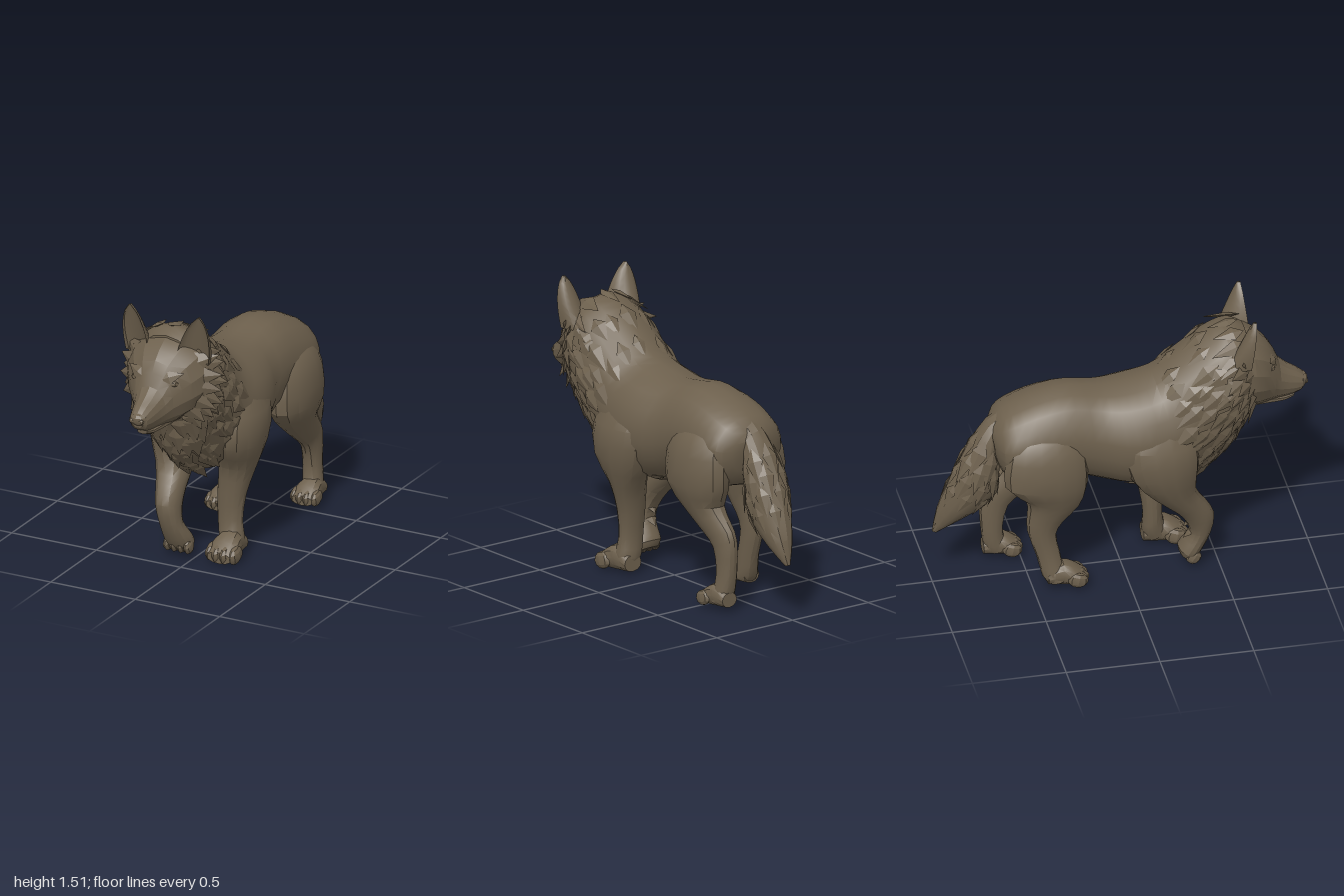
import * as THREE from 'three';
import { mergeGeometries, toCreasedNormals } from 'three/addons/utils/BufferGeometryUtils.js';

const fur = new THREE.MeshStandardMaterial({ color: 0x6d604d, side: THREE.DoubleSide });
fur.name = 'brown fur';

const V = (x, y, z) => new THREE.Vector3(x, y, z);

// Smooth interpolation through a list of equal-length number rows
function rowAt(rows, t) {
  const n = rows.length - 1;
  const i = Math.min(Math.floor(t), n - 1), f = t - i;
  const [a, b, c, d] = [i - 1, i, i + 1, i + 2].map(k => rows[Math.max(0, Math.min(n, k))]);
  return b.map((_, k) => 0.5 * (2 * b[k] + (c[k] - a[k]) * f
    + (2 * a[k] - 5 * b[k] + 4 * c[k] - d[k]) * f * f
    + (3 * b[k] - a[k] - 3 * c[k] + d[k]) * f * f * f));
}

// Section row: [z1, y1, z2, y2, halfWidth, centreX, pinch]; an oval spanned between
// two side-profile points, narrowed towards the second one by pinch
function surface(rows) {
  const full = rows.map(r => [...r, 0, 0].slice(0, 7));
  return (t, angle) => {
    const [z1, y1, z2, y2, w, cx, pinch] = rowAt(full, t);
    const c = Math.cos(angle), s = Math.sin(angle);
    const sx = Math.sign(s) * Math.pow(Math.abs(s), 0.88) * (1 - pinch * Math.max(0, -c));
    return V(cx + w * sx, (y1 + y2) / 2 + c * (y1 - y2) / 2, (z1 + z2) / 2 + c * (z1 - z2) / 2);
  };
}

// Closed skin over rings given by point(t, angle), with capped ends
function skin(point, tMax, steps, sides = 16, crease = 0.5) {
  const rings = [];
  for (let j = 0; j <= steps; j++) {
    rings.push(Array.from({ length: sides }, (_, i) => point(tMax * j / steps, i / sides * Math.PI * 2)));
  }
  const tris = [];
  for (let j = 0; j < steps; j++) for (let i = 0; i < sides; i++) {
    const k = (i + 1) % sides, a = rings[j], b = rings[j + 1];
    tris.push([a[i], b[i], a[k]], [a[k], b[i], b[k]]);
  }
  [rings[0], rings[steps]].forEach((ring, end) => {
    const mid = ring.reduce((m, p) => m.add(p), V(0, 0, 0)).divideScalar(sides);
    ring.forEach((p, i) => {
      const q = ring[(i + 1) % sides];
      tris.push(end ? [mid, q, p] : [mid, p, q]);
    });
  });
  const volume = tris.reduce((sum, [a, b, c]) => sum + a.dot(b.clone().cross(c)), 0);
  const pts = tris.flatMap(([a, b, c]) => volume < 0 ? [a, c, b] : [a, b, c]);
  return toCreasedNormals(new THREE.BufferGeometry().setFromPoints(pts), crease);
}

const loft = (rows, sides = 14) => skin(surface(rows), rows.length - 1, (rows.length - 1) * 2, sides);

function add(group, name, geometry) {
  const mesh = new THREE.Mesh(geometry, fur);
  mesh.name = name;
  group.add(mesh);
  return mesh;
}

function ball(group, name, pos, size, tilt = 0) {
  const mesh = add(group, name, toCreasedNormals(new THREE.SphereGeometry(1, 8, 6), 0.5));
  mesh.position.set(...pos);
  mesh.scale.set(...size);
  mesh.rotation.x = tilt;
}

let seed = 7;
const rand = () => (seed = (seed * 16807) % 2147483647) / 2147483647;

// Pointed lock of fur lying on a surface
function tuft(pos, dir, normal, length, width) {
  const g = new THREE.OctahedronGeometry(1);
  const y = dir.clone().normalize();
  const x = y.clone().cross(normal).normalize();
  const z = x.clone().cross(y);
  g.scale(width, length, width * 0.3);
  const p = g.attributes.position;
  for (let i = 0; i < p.count; i++) if (p.getY(i) < 0) p.setY(i, p.getY(i) * 0.5);
  g.applyMatrix4(new THREE.Matrix4().makeBasis(x, y, z).setPosition(pos));
  g.computeVertexNormals();
  return g;
}

// Lock rooted at (t, angle) on a lofted surface, running along it and lifted outwards
function tuftOn(point, t, angle, length, width, lift) {
  const pos = point(t, angle);
  const along = point(t + 0.2, angle).sub(pos).normalize();
  const around = point(t, angle + 0.05).sub(point(t, angle - 0.05)).normalize();
  const out = along.clone().cross(around).normalize();
  const middle = point(t, 0).add(point(t, Math.PI)).multiplyScalar(0.5);
  if (out.dot(pos.clone().sub(middle)) < 0) out.negate();
  return tuft(pos, along.addScaledVector(out, lift), out, length, width);
}

// Paw with four toes, heel at the back and toes at +z
function paw(parent, name, x, y, z, scale = 1) {
  const g = new THREE.Group();
  g.name = name;
  add(g, 'pad', loft([[0, .1, 0, .01, .055], [.09, .15, .09, 0, .07], [.17, .11, .17, 0, .086], [.225, .065, .225, .003, .072]], 12));
  [-1.5, -.5, .5, 1.5].forEach(k =>
    ball(g, 'toe', [k * .046, .045, .19 - Math.abs(k) * .014], [.028, .047, .062], .25));
  g.position.set(x, y, z);
  g.scale.setScalar(scale);
  parent.add(g);
}

export function createModel() {
  const wolf = new THREE.Group();
  wolf.name = 'wolf';

  // Neck, chest, barrel and rump in one skin
  const bodyRows = [
    [.66, 1.36, .70, .92, .19], [.58, 1.395, .65, .85, .235, 0, .1], [.48, 1.365, .60, .73, .255, 0, .2],
    [.38, 1.30, .54, .64, .26, 0, .3], [.28, 1.225, .46, .56, .265, 0, .3], [.18, 1.15, .36, .50, .275, 0, .25],
    [.06, 1.115, .20, .51, .29, 0, .1], [-.05, 1.10, .04, .525, .275], [-.15, 1.105, -.10, .56, .24],
    [-.30, 1.125, -.25, .61, .235], [-.45, 1.10, -.42, .62, .24], [-.58, 1.05, -.56, .63, .235],
    [-.655, 1.0, -.64, .67, .2], [-.70, .93, -.675, .76, .1]];
  const body = surface(bodyRows);
  add(wolf, 'body', skin(body, bodyRows.length - 1, 28, 18));

  // Mane locks, sparse along the back and thick on the sides and chest
  const locks = [];
  for (let row = 0; row < 7; row++) for (let i = 0; i < 16; i++) {
    const angle = (i + (row % 2) * .5 + rand() * .5) / 16 * Math.PI * 2;
    const low = (1 - Math.cos(angle)) / 2;
    if (low < .15 && row % 3) continue;
    locks.push(tuftOn(body, .8 + row * .56 + rand() * .3, angle,
      .1 + .045 * rand(), .036 + .018 * rand(), (.02 + .13 * rand()) * low - .06 * (1 - low)));
  }
  // Cheek ruff: broad pointed locks sweeping out and back
  for (const s of [1, -1]) for (const layer of [0, 1, 2]) for (let i = 0; i < 5; i++) {
    const a = s * (1.05 + i * .3 + layer * .12 + rand() * .08);
    locks.push(tuftOn(body, .3 + layer * .4, a, .105 + .03 * rand(), .056, .46 - layer * .17));
  }
  // Belly fringe
  for (let i = 0; i < 8; i++) {
    locks.push(tuftOn(body, 5.2 + i * .3, Math.PI + (rand() - .5) * .9, .09, .035, 0));
  }
  add(wolf, 'mane', mergeGeometries(locks));

  // Wedge-shaped head flaring from the muzzle into the cheeks
  const headRows = [
    [.55, 1.375, .60, .94, .24], [.64, 1.36, .655, .925, .236], [.71, 1.325, .70, .91, .207],
    [.77, 1.275, .75, .905, .165], [.815, 1.205, .80, .908, .122], [.85, 1.125, .85, .912, .09],
    [.91, 1.085, .90, .915, .07], [.965, 1.045, .95, .93, .056], [.985, 1.02, .975, .955, .036]];
  add(wolf, 'head', skin(surface(headRows), 8, 10, 14, .3));
  add(wolf, 'lowerJaw', loft([
    [.66, .97, .66, .905, .11], [.78, .95, .78, .892, .075], [.87, .93, .87, .888, .05], [.925, .932, .92, .9, .03]], 10));
  ball(wolf, 'nose', [0, 1.0, .965], [.052, .036, .034], .2);

  for (const s of [1, -1]) {
    ball(wolf, 'nostril', [s * .028, .995, .985], [.016, .014, .012]);
    ball(wolf, 'eye', [s * .105, 1.155, .782], [.034, .018, .024]);
    add(wolf, 'brow', tuft(V(s * .09, 1.19, .8), V(s * .9, .3, -.45), V(s * .25, .5, 1), .085, .036));
    // Cupped ear, hollow towards the front: deep outer shell, shallower inner shell
    const ear = (v, a) => {
      const w = .078 * Math.pow(Math.max(0, 1 - Math.pow(v, 2.4)), .75) + .006;
      const u = Math.cos(a), bend = Math.abs(Math.sin(a));
      const depth = (a < Math.PI ? .135 : .06) * bend * (1 - v * .85);
      return V(s * (.16 + .043 * v + u * w), 1.235 + .27 * v, .68 + .005 * v - depth - u * .03 * (1 - v));
    };
    add(wolf, s > 0 ? 'leftEar' : 'rightEar', skin(ear, 1, 8, 16));
  }

  // Legs: shared upper sections, separate lower sections for the walking pose
  const shoulder = [[.28, 1.0, .06, 1.0, .045, .16], [.37, .82, -.03, .82, .108, .203], [.375, .65, .01, .63, .115, .197]];
  const thigh = [[-.34, 1.0, -.5, 1.0, .04, .1], [-.26, .91, -.6, .92, .09, .15], [-.215, .8, -.645, .81, .108, .18],
    [-.21, .63, -.65, .65, .112, .183]];
  const leg = (name, side, upper, lower) =>
    add(wolf, name, loft([...upper, ...lower].map(r => [...r.slice(0, 5), r[5] * side])));

  leg('leftFrontLeg', 1, shoulder, [
    [.275, .5, .09, .48, .1, .165], [.255, .35, .13, .33, .08, .138], [.25, .2, .15, .18, .07, .132],
    [.265, .12, .145, .08, .072, .145], [.29, .08, .17, .015, .065, .153]]);
  paw(wolf, 'leftFrontPaw', .157, 0, .15);

  leg('rightFrontLeg', -1, shoulder, [
    [.37, .5, .13, .48, .1, .165], [.425, .41, .27, .35, .08, .14], [.475, .31, .325, .27, .07, .125],
    [.46, .2, .345, .2, .065, .11], [.425, .11, .32, .15, .076, .095], [.39, .05, .29, .1, .08, .088],
    [.35, .03, .30, .06, .055, .085]]);
  [-1.5, -.5, .5, 1.5].forEach(k =>
    ball(wolf, 'rightFrontToe', [-.087 + k * .04, .06, .362], [.024, .042, .042], .6));
  for (const y of [.27, .2]) add(wolf, 'wristTuft', tuft(V(-.115, y, .345), V(0, -.6, -.6), V(0, .6, -.6), .05, .035));

  leg('leftHindLeg', 1, thigh, [
    [-.34, .5, -.605, .55, .085, .172], [-.48, .39, -.665, .47, .062, .165], [-.56, .32, -.715, .39, .052, .162],
    [-.59, .2, -.71, .2, .05, .162], [-.58, .11, -.69, .07, .057, .172], [-.55, .07, -.66, .03, .058, .177]]);
  paw(wolf, 'leftHindPaw', .178, .018, -.695, .87);

  leg('rightHindLeg', -1, thigh, [
    [-.25, .5, -.54, .55, .085, .172], [-.335, .4, -.53, .46, .062, .165], [-.375, .32, -.53, .355, .052, .162],
    [-.355, .2, -.48, .19, .05, .162], [-.335, .11, -.45, .07, .057, .172], [-.3, .07, -.42, .03, .058, .177]]);
  paw(wolf, 'rightHindPaw', -.178, .018, -.425, .9);

  // Bushy tail with long locks
  const tailRows = [
    [-.60, 1.03, -.60, .86, .07, 0], [-.71, .96, -.65, .79, .08, 0], [-.80, .83, -.66, .68, .1, -.01],
    [-.87, .70, -.66, .575, .11, -.01], [-.93, .56, -.72, .46, .095, 0], [-.975, .43, -.85, .37, .065, .012],
    [-.998, .30, -.97, .293, .014, .02]];
  const tail = surface(tailRows);
  add(wolf, 'tail', skin(tail, 6, 12, 12));
  const tailLocks = [];
  for (let row = 0; row < 4; row++) for (let i = 0; i < 7; i++) {
    tailLocks.push(tuftOn(tail, 1.9 + row * .65, (i + (row % 2) * .5) / 7 * Math.PI * 2,
      .15 - row * .018, .045 - row * .004, 0));
  }
  add(wolf, 'tailLocks', mergeGeometries(tailLocks));

  return wolf;
}
